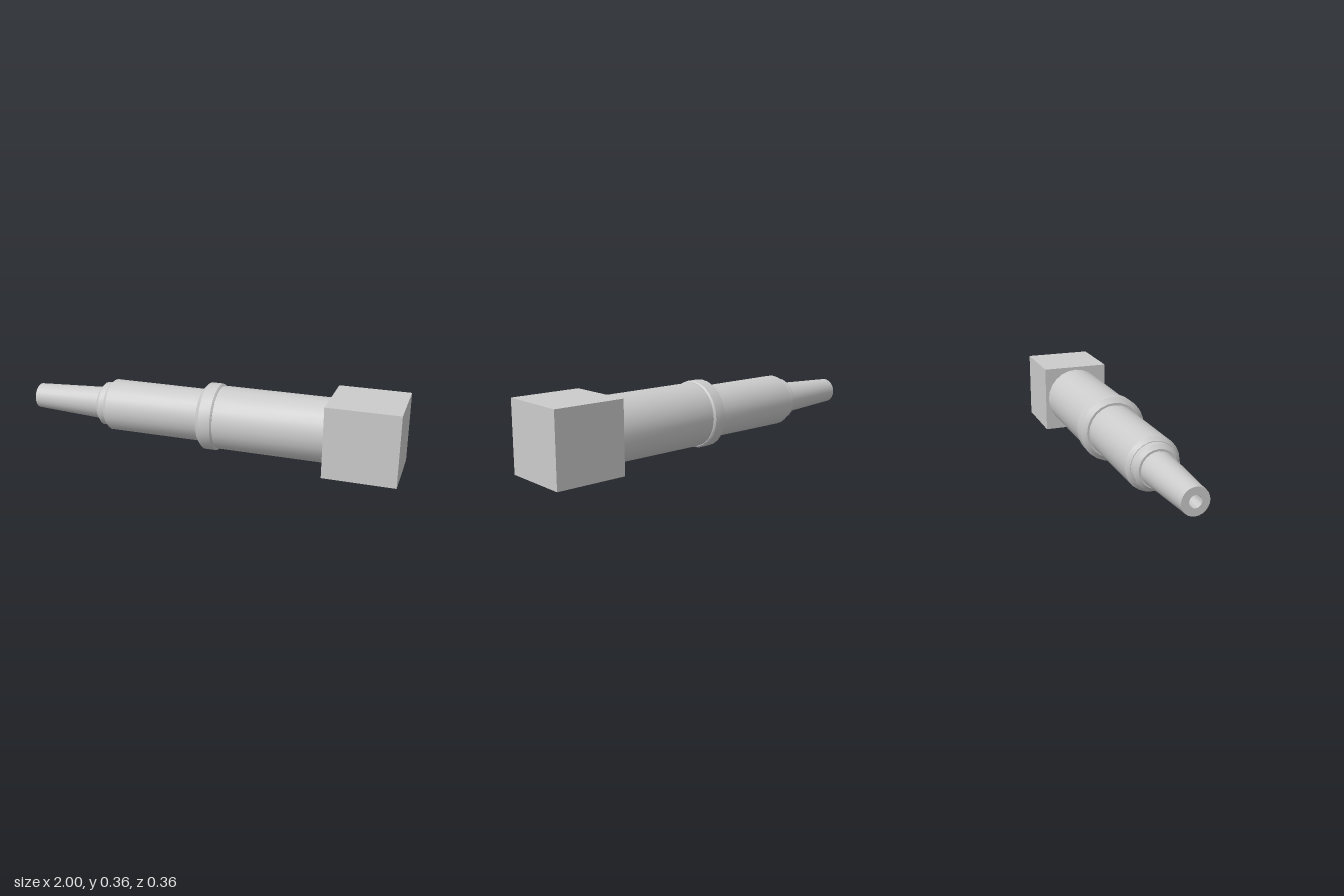
import * as THREE from 'three';
import { toCreasedNormals } from 'three/addons/utils/BufferGeometryUtils.js';

const AXIS_Y = 0.182;
const material = new THREE.MeshStandardMaterial({ color: 0xcccccc });

// Turned part along x; profile is [x, radius] running from -x to +x on the outside
function turned(name, profile) {
  const points = profile.map(([x, r]) => new THREE.Vector2(r, x));
  const geometry = toCreasedNormals(new THREE.LatheGeometry(points, 24), 0.5);
  geometry.rotateZ(-Math.PI / 2);
  const mesh = new THREE.Mesh(geometry, material);
  mesh.name = name;
  mesh.position.y = AXIS_Y;
  return mesh;
}

export function createModel() {
  const model = new THREE.Group();
  model.name = 'nozzleTool';

  // Tapered tip with a central bore
  model.add(turned('taperedTip', [
    [-0.6, 0], [-0.6, 0.03], [-1, 0.03], [-1, 0.067], [-0.6, 0.087],
  ]));

  // Stepped, chamfered shoulder behind the tip
  model.add(turned('shoulder', [
    [-0.61, 0.08], [-0.61, 0.097], [-0.592, 0.116], [-0.555, 0.116],
  ]));

  // Slim front barrel with a chamfered end
  model.add(turned('frontBarrel', [
    [-0.56, 0.1], [-0.56, 0.119], [-0.54, 0.137], [0, 0.137],
  ]));

  // Collar between the two barrels
  model.add(turned('collar', [
    [-0.027, 0.13], [-0.027, 0.149], [-0.003, 0.175],
    [0.058, 0.175], [0.066, 0.168], [0.066, 0.15],
  ]));

  // Wider rear barrel
  model.add(turned('rearBarrel', [[0.05, 0.165], [0.64, 0.165]]));

  // Square end block
  const size = 0.363;
  const block = new THREE.Mesh(new THREE.BoxGeometry(size, size, size), material);
  block.name = 'endBlock';
  block.position.set(1 - size / 2, size / 2, 0);
  model.add(block);

  return model;
}
